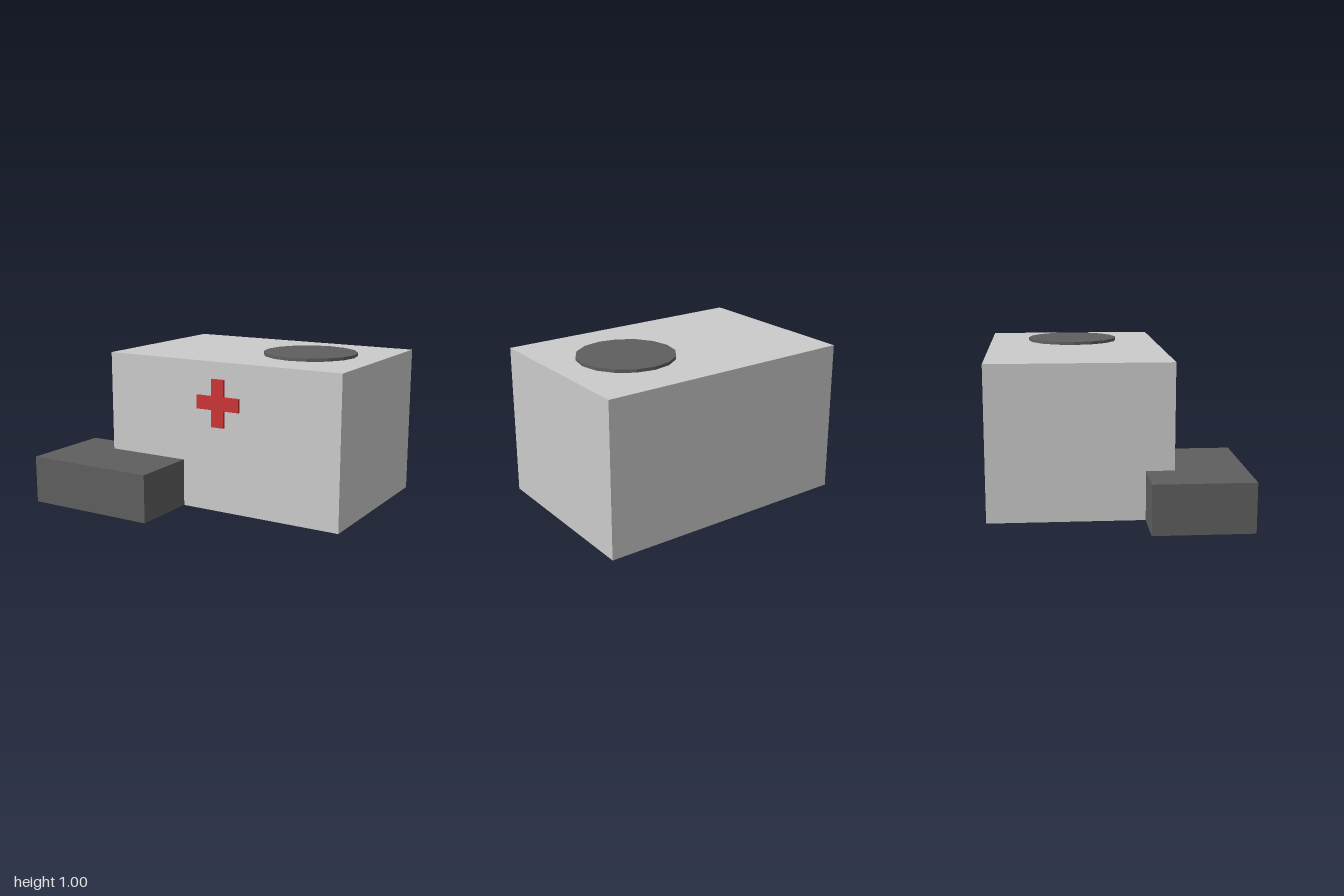
import * as THREE from 'three';

const grey = new THREE.MeshStandardMaterial({ color: 0xcccccc, flatShading: true });
const dark = new THREE.MeshStandardMaterial({ color: 0x5f5f5f, flatShading: true });
const red = new THREE.MeshStandardMaterial({ color: 0xcc3333, flatShading: true });

// Box given by its lowest and highest corners
function block(name, material, min, max) {
  const size = max.map((v, i) => v - min[i]);
  const mesh = new THREE.Mesh(new THREE.BoxGeometry(...size), material);
  mesh.position.set(...max.map((v, i) => (v + min[i]) / 2));
  mesh.name = name;
  return mesh;
}

// Plus-shaped outline, arm = half length, half = half width
function crossShape(arm, half) {
  const shape = new THREE.Shape();
  const quarter = [[arm, -half], [arm, half], [half, half]];
  const points = [];
  for (let i = 0; i < 4; i++) {
    for (const [x, y] of quarter) {
      points.push(new THREE.Vector2(x, y).rotateAround(new THREE.Vector2(), i * Math.PI / 2));
    }
  }
  return shape.setFromPoints(points);
}

export function createModel() {
  const model = new THREE.Group();
  model.name = 'clinicBuilding';

  // Main hall and the low annex set into its front corner
  model.add(block('mainHall', grey, [-0.69, 0, -0.8], [1, 0.98, 0.355]));
  model.add(block('entranceAnnex', dark, [-1, 0.001, 0.178], [-0.115, 0.312, 0.8]));

  // Sixteen-sided landing pad on the roof
  const pad = new THREE.Mesh(new THREE.CylinderGeometry(0.31, 0.31, 0.025, 16), dark);
  pad.name = 'roofPad';
  pad.position.set(0.51, 0.9875, -0.225);
  model.add(pad);

  // Raised cross on the front wall
  const crossGeometry = new THREE.ExtrudeGeometry(crossShape(0.155, 0.044), { depth: 0.02, bevelEnabled: false });
  const cross = new THREE.Mesh(crossGeometry, red);
  cross.name = 'frontCross';
  cross.position.set(0.154, 0.715, 0.354);
  model.add(cross);

  return model;
}
